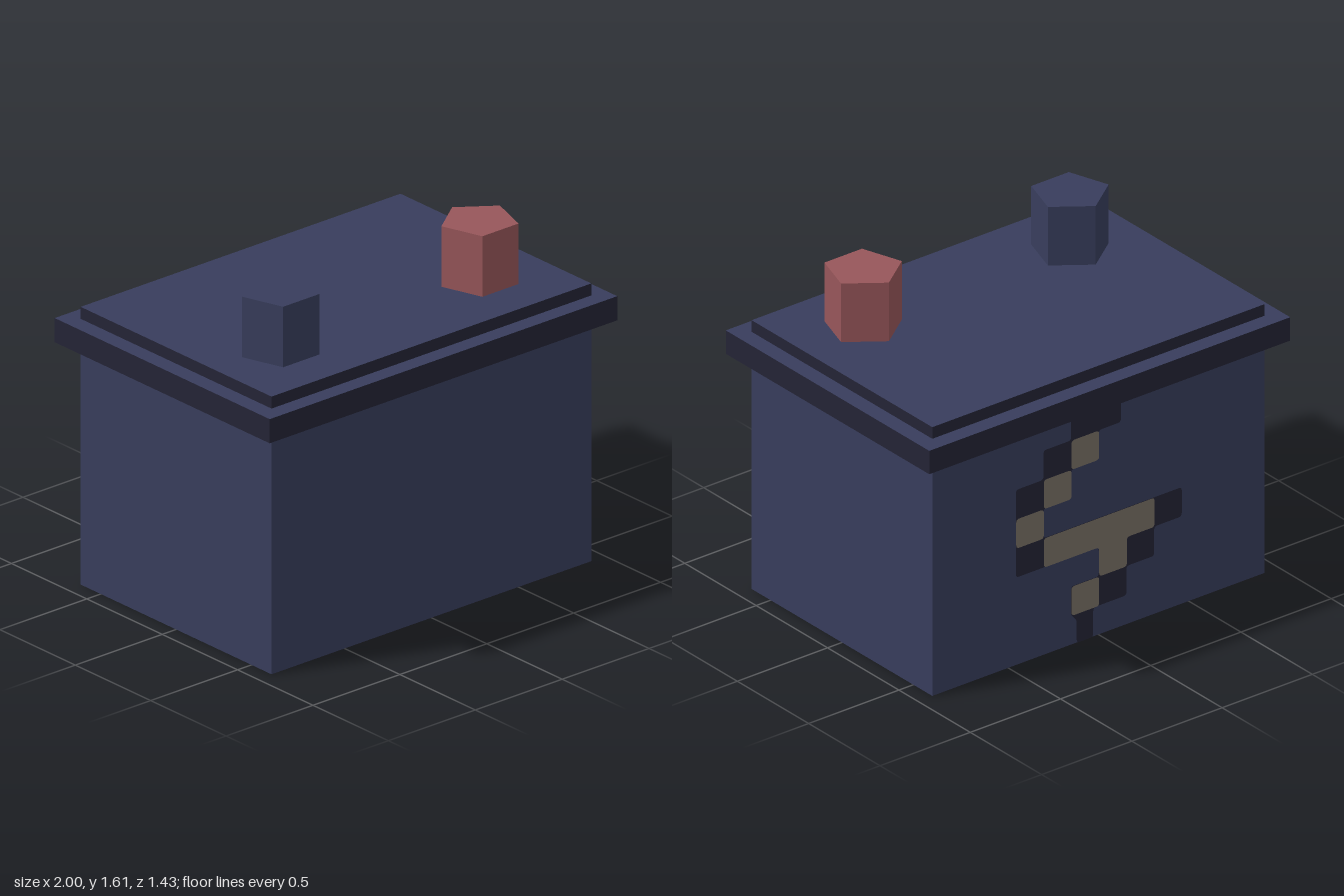
import * as THREE from 'three';

const mat = (name, color) => {
  const m = new THREE.MeshStandardMaterial({ color });
  m.name = name;
  return m;
};

// Case size and the grid of the pixel-style bolt on its back
const W = 1.84, H = 1.15, D = 1.266;
const COLS = 12, ROWS = 8;

// Shape from grid-cell corners, each corner softened by radius r (in cells)
function roundedCells(points, r) {
  const pts = points.map(([c, q]) => new THREE.Vector2(c * W / COLS - W / 2, q * H / ROWS));
  const shape = new THREE.Shape();
  const radius = r * H / ROWS;
  pts.forEach((p, i) => {
    const prev = pts[(i + pts.length - 1) % pts.length];
    const next = pts[(i + 1) % pts.length];
    const toward = (q) => p.clone().add(q.clone().sub(p).setLength(radius));
    const a = toward(prev), b = toward(next);
    if (i === 0) shape.moveTo(a.x, a.y);
    else shape.lineTo(a.x, a.y);
    shape.quadraticCurveTo(p.x, p.y, b.x, b.y);
  });
  shape.closePath();
  return new THREE.ShapeGeometry(shape, 4);
}

const cell = (c, q) => [[c, q], [c + 1, q], [c + 1, q + 1], [c, q + 1]];

export function createModel() {
  const blue = mat('slate blue', 0x383d5c);
  const dark = mat('dark navy', 0x242436);
  const red = mat('muted red', 0x97565a);
  const beige = mat('warm grey', 0x7a7266);

  const model = new THREE.Group();
  model.name = 'battery';
  const add = (parent, name, geometry, material, x = 0, y = 0, z = 0) => {
    const mesh = new THREE.Mesh(geometry, material);
    mesh.name = name;
    mesh.position.set(x, y, z);
    parent.add(mesh);
    return mesh;
  };

  // Case and stepped lid: blue tops, dark rims (material order: +x -x +y -y +z -z)
  const rim = [dark, dark, blue, dark, dark, dark];
  add(model, 'case', new THREE.BoxGeometry(W, H, D), [blue, blue, blue, dark, blue, blue], 0, H / 2, 0);
  add(model, 'lidRim', new THREE.BoxGeometry(2, 0.115, 1.426), rim, 0, 1.2075, 0);
  add(model, 'lidTop', new THREE.BoxGeometry(W, 0.057, D), rim, 0, 1.2935, 0);

  // Five-sided terminals, one point facing the back
  const post = new THREE.CylinderGeometry(0.177, 0.177, 0.288, 5).rotateY(Math.PI).toNonIndexed();
  post.computeVertexNormals();
  add(model, 'positiveTerminal', post, red, 0.573, 1.466, 0.287);
  add(model, 'negativeTerminal', post, blue, -0.573, 1.466, 0.287);

  // Bolt emblem on the back
  const bolt = new THREE.Group();
  bolt.name = 'boltEmblem';
  bolt.rotation.y = Math.PI;
  bolt.position.z = -D / 2;
  model.add(bolt);

  const outline = [
    [3, 3], [6, 3], [6, 2], [5, 2], [5, 1], [5.2, 0.8], [5.2, 0], [5.8, 0], [5.8, 1], [7, 1], [7, 2],
    [8, 2], [8, 3], [9, 3], [9, 4], [4, 4], [4, 5], [5, 5], [5, 6],
    [6, 6], [6, 7], [6.8, 7], [6.8, 8], [5, 8], [5, 7], [4, 7], [4, 6], [3, 6],
  ];
  add(bolt, 'boltOutline', roundedCells(outline, 0.12), dark, 0, 0, 0.003);

  const bar = [[4, 3], [6, 3], [6, 2], [7, 2], [7, 3], [8, 3], [8, 4], [4, 4]];
  const fills = [cell(3, 4), cell(4, 5), cell(5, 6), bar, cell(5, 1)];
  for (const f of fills) add(bolt, 'boltFill', roundedCells(f, 0.12), beige, 0, 0, 0.006);

  return model;
}
